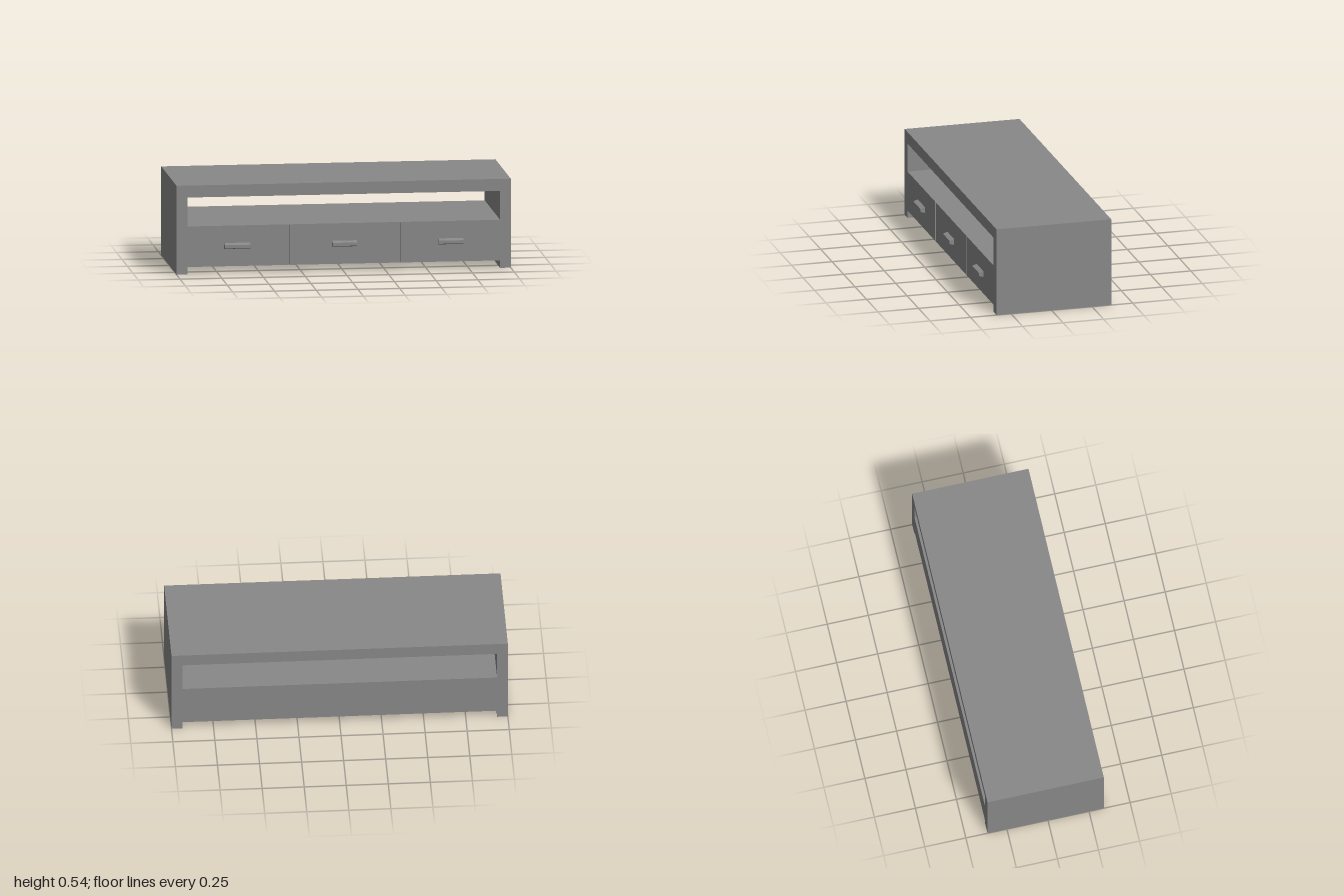
import * as THREE from 'three';

const BACK = -0.368, FRONT = 0.34;
const INNER = 0.936, HEIGHT = 0.535;
const BOTTOM = 0.045, SHELF = 0.289;

const material = new THREE.MeshStandardMaterial({ color: 0x888888, flatShading: true });

const polygon = (points) => new THREE.Shape(points.map(([x, y]) => new THREE.Vector2(x, y)));

const rectangle = (x0, x1, y0, y1) => polygon([[x0, y0], [x1, y0], [x1, y1], [x0, y1]]);

const extrude = (points, depth) =>
  new THREE.ExtrudeGeometry(polygon(points), { depth, bevelEnabled: false });

// Box without one side: side 4 is +z, side 5 is -z
function openBox(width, height, depth, side) {
  const box = new THREE.BoxGeometry(width, height, depth);
  const index = Array.from(box.index.array);
  index.splice(side * 6, 6);
  box.setIndex(index);
  box.clearGroups();
  return box;
}

function addPart(group, name, geometry) {
  const mesh = new THREE.Mesh(geometry, material);
  mesh.name = name;
  group.add(mesh);
}

export function createModel() {
  const group = new THREE.Group();
  group.name = 'mediaConsole';

  // Top and both side panels as one inverted U, running front to back
  const frame = extrude([
    [-1, 0], [-INNER, 0], [-INNER, 0.463], [INNER, 0.463],
    [INNER, 0], [1, 0], [1, HEIGHT], [-1, HEIGHT],
  ], FRONT - BACK);
  frame.translate(0, 0, BACK);
  addPart(group, 'frame', frame);

  // Drawer block, open at the front
  const block = openBox(2 * INNER, SHELF - BOTTOM, FRONT - BACK, 4);
  block.translate(0, (SHELF + BOTTOM) / 2, (FRONT + BACK) / 2);
  addPart(group, 'drawerBlock', block);

  // Drawer front with two slots, each backed by an inside-out box as the groove
  const front = rectangle(-INNER, INNER, BOTTOM, SHELF);
  const y0 = BOTTOM + 0.002, y1 = SHELF - 0.002, depth = 0.02;
  for (const [name, x0, x1] of [['rightGroove', -0.339, -0.321], ['leftGroove', 0.33, 0.343]]) {
    front.holes.push(rectangle(x0, x1, y0, y1));
    const groove = openBox(x1 - x0, y1 - y0, depth, 5);
    groove.scale(1, 1, -1).translate((x0 + x1) / 2, (y0 + y1) / 2, FRONT - depth / 2);
    groove.computeVertexNormals();
    addPart(group, name, groove);
  }
  addPart(group, 'drawerFront', new THREE.ShapeGeometry(front).translate(0, 0, FRONT));

  // Tapered bar handles, one per drawer
  const handles = [
    ['rightHandle', -0.715, -0.56],
    ['middleHandle', -0.069, 0.078],
    ['leftHandle', 0.568, 0.715],
  ];
  for (const [name, x0, x1] of handles) {
    // Profile in (-z, y), turned so that the bar runs along x
    const bar = extrude([
      [-0.368, 0.157], [-FRONT, 0.149], [-FRONT, 0.185], [-0.368, 0.176],
    ], x1 - x0);
    bar.rotateY(Math.PI / 2).translate(x0, 0, 0);
    addPart(group, name, bar);
  }

  return group;
}
